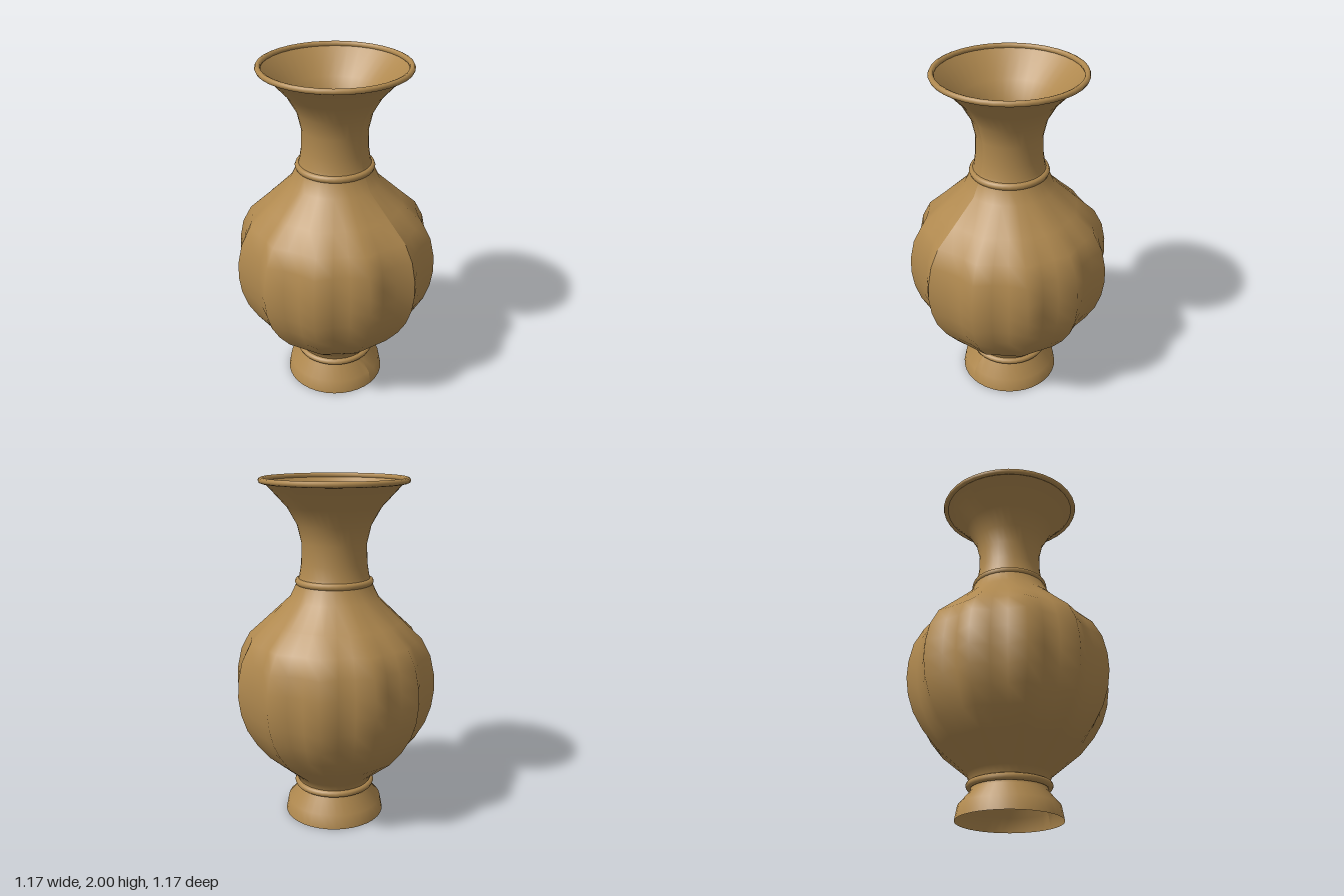
import * as THREE from 'three';

const bronze = new THREE.MeshStandardMaterial({ color: 0xb0894f, side: THREE.DoubleSide });
bronze.name = 'bronze';

// Outline as [radius along a rib, height], foot to lip
const PROFILE = [
  [0.295, 0], [0.28, 0.08], [0.21, 0.16], [0.215, 0.2], [0.235, 0.25],
  [0.405, 0.39], [0.485, 0.49], [0.54, 0.585], [0.573, 0.685], [0.587, 0.79],
  [0.582, 0.89], [0.558, 1.0], [0.505, 1.1], [0.395, 1.2], [0.255, 1.33],
  [0.212, 1.42], [0.198, 1.46], [0.187, 1.53], [0.185, 1.64], [0.208, 1.74],
  [0.265, 1.84], [0.385, 1.97], [0.404, 1.985],
];
const RIBS = 12, SEGMENTS = 36, RIB_DEPTH = 0.054;
const BELLY_BOTTOM = 0.25, BELLY_TOP = 1.33;

// Hollow lathed wall with ribs that fade out above and below the belly
function ribbedWall() {
  const geometry = new THREE.LatheGeometry(PROFILE.map(([r, y]) => new THREE.Vector2(r, y)), SEGMENTS);
  const p = geometry.attributes.position;
  for (let i = 0; i < p.count; i++) {
    const t = (p.getY(i) - BELLY_BOTTOM) / (BELLY_TOP - BELLY_BOTTOM);
    if (t <= 0 || t >= 1) continue;
    const depth = RIB_DEPTH * Math.sin(Math.PI * t);
    const angle = Math.atan2(p.getX(i), p.getZ(i));
    const k = (1 + depth * Math.cos(RIBS * angle)) / (1 + depth);
    p.setX(i, p.getX(i) * k);
    p.setZ(i, p.getZ(i) * k);
  }
  geometry.computeVertexNormals();
  return geometry;
}

function ring(name, radius, tube, y) {
  const mesh = new THREE.Mesh(new THREE.TorusGeometry(radius, tube, 8, SEGMENTS), bronze);
  mesh.rotation.x = Math.PI / 2;
  mesh.position.y = y;
  mesh.name = name;
  return mesh;
}

export function createModel() {
  const vase = new THREE.Group();
  vase.name = 'vase';
  const body = new THREE.Mesh(ribbedWall(), bronze);
  body.name = 'body';
  vase.add(
    body,
    ring('footRing', 0.219, 0.02, 0.19),
    ring('neckRing', 0.205, 0.02, 1.423),
    ring('lipRing', 0.404, 0.016, 1.984),
  );
  return vase;
}
